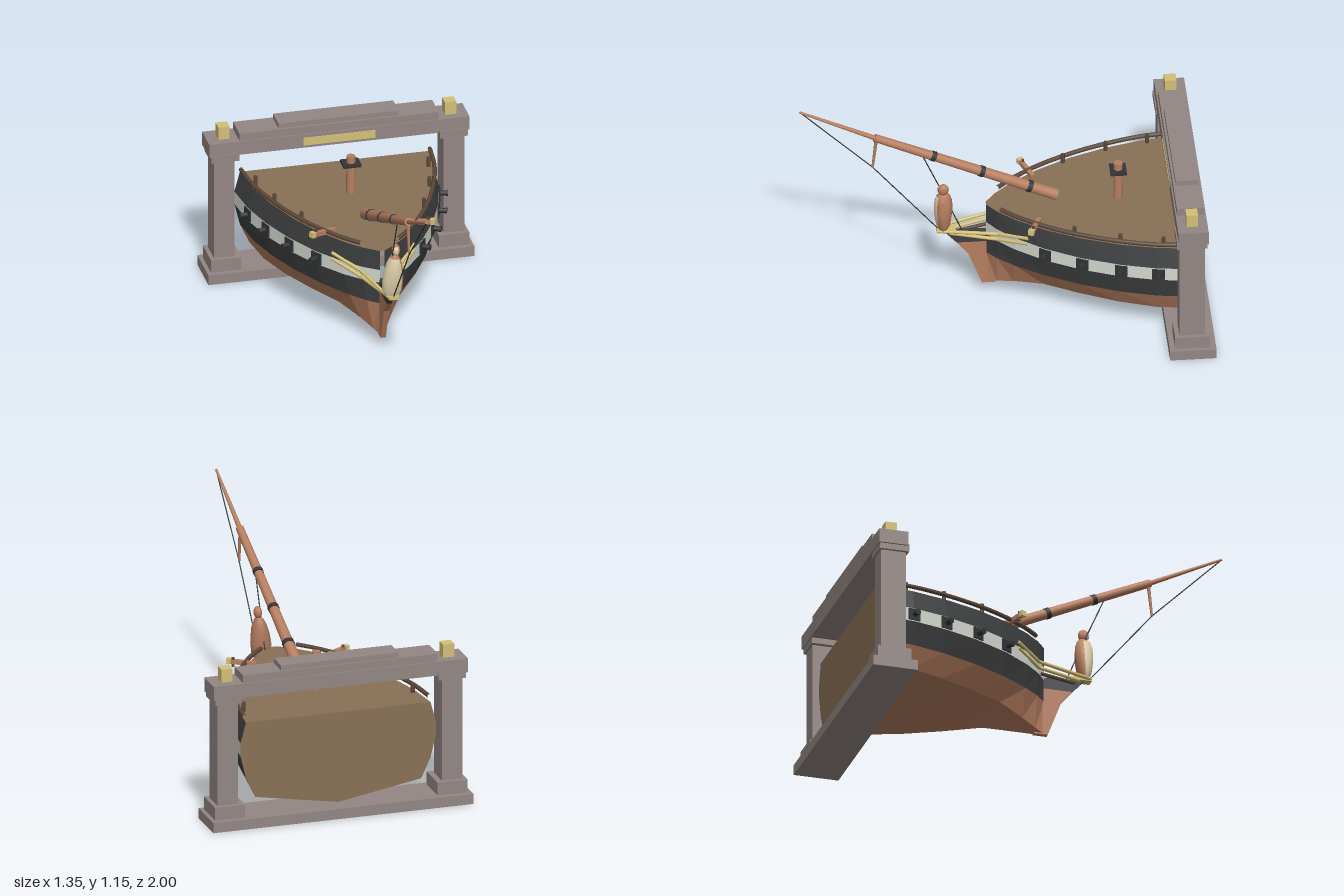
import * as THREE from 'three';

const mat = (name, color, side = THREE.FrontSide) => {
  const m = new THREE.MeshStandardMaterial({ color, side });
  m.name = name;
  return m;
};
const V = (x, y, z) => new THREE.Vector3(x, y, z);

// plan of the hull at its widest level: [z, half width], stern to bow
const PLAN = [[-0.92, 0.507], [-0.73, 0.485], [-0.55, 0.437], [-0.365, 0.364], [-0.19, 0.268],
  [-0.05, 0.162], [0.03, 0.082], [0.08, 0.012]];
function halfWidth(z) {
  for (let i = 1; i < PLAN.length; i++) {
    const [z0, w0] = PLAN[i - 1], [z1, w1] = PLAN[i];
    if (z <= z1) return w0 + (w1 - w0) * (z - z0) / (z1 - z0);
  }
  return 0.012;
}

export function createModel() {
  const copper = mat('copper wood', 0xb67e5f);
  const plank = mat('deck planks', 0x897056, THREE.DoubleSide);
  const black = mat('black paint', 0x3f4041);
  const white = mat('white band', 0xd5d9cf);
  const iron = mat('iron', 0x323437);
  const gold = mat('gold', 0xd4c078);
  const stone = mat('stone', 0x938783);
  const cream = mat('cream robe', 0xdccfa8, THREE.DoubleSide);
  const railWood = mat('rail wood', 0x5c4839);

  const model = new THREE.Group();
  const add = (name, geo, material, parent = model) => {
    const m = new THREE.Mesh(geo, material);
    m.name = name;
    parent.add(m);
    return m;
  };
  // box from its lower and upper limits on each axis
  const box = (name, [x0, x1], [y0, y1], [z0, z1], material) => {
    const m = add(name, new THREE.BoxGeometry(x1 - x0, y1 - y0, z1 - z0), material);
    m.position.set((x0 + x1) / 2, (y0 + y1) / 2, (z0 + z1) / 2);
    return m;
  };
  // round bar from a to b
  const bar = (name, a, b, ra, rb, material, sides = 16) => {
    const m = add(name, new THREE.CylinderGeometry(rb, ra, a.distanceTo(b), sides), material);
    m.position.copy(a).lerp(b, 0.5);
    m.quaternion.setFromUnitVectors(V(0, 1, 0), b.clone().sub(a).normalize());
    return m;
  };
  // square beam from a to b, kept level
  const beam = (name, a, b, size, material) => {
    const m = add(name, new THREE.BoxGeometry(size, size, a.distanceTo(b)), material);
    m.position.copy(a).lerp(b, 0.5);
    m.lookAt(b);
    return m;
  };

  // stone gateway
  box('gateBase', [-0.675, 0.675], [0, 0.053], [-1, -0.77], stone);
  box('gateBeam', [-0.66, 0.66], [0.68, 0.752], [-0.963, -0.813], stone);
  box('gateCornice', [-0.505, 0.505], [0.752, 0.792], [-0.955, -0.82], stone);
  box('gateCrown', [-0.305, 0.305], [0.792, 0.818], [-0.945, -0.832], stone);
  box('gatePlaque', [-0.182, 0.182], [0.693, 0.735], [-0.814, -0.81], gold);
  for (const s of [-1, 1]) {
    const span = (a, b) => (s > 0 ? [a, b] : [-b, -a]);
    box('pillarPlinth', span(0.5, 0.655), [0.053, 0.12], [-0.97, -0.797], stone);
    box('pillar', span(0.53, 0.635), [0.12, 0.66], [-0.947, -0.82], stone);
    box('pillarCapital', span(0.508, 0.65), [0.65, 0.69], [-0.957, -0.807], stone);
    box('gateLamp', span(0.546, 0.604), [0.752, 0.82], [-0.915, -0.857], gold);
  }

  // hull levels, each a line of points along one side; lower ones are finer at the bow
  const level = (y, stern, bow, yBow = y) => PLAN.map(([z, w]) => {
    const t = (z + 0.92) / 1;
    const k = stern + (bow - stern) * t * t;
    return V(Math.max(0.01, w * k), y + (yBow - y) * Math.max(0, (t - 0.77) / 0.23), z);
  });
  const keel = PLAN.map(([z]) => V(0, 0.06, z));
  const levels = [keel, level(0.135, 0.85, 0.35, 0.065), level(0.24, 0.945, 0.8),
    level(0.355, 1, 1), level(0.425, 1, 1), level(0.53, 0.945, 0.945)];
  const mirrored = (line) => line.map((p) => V(-p.x, p.y, p.z));
  const strip = (lower, upper, flip) => {
    const pts = [];
    for (let j = 0; j + 1 < lower.length; j++) {
      const a = lower[j], b = lower[j + 1], c = upper[j + 1], d = upper[j];
      pts.push(...(flip ? [a, b, c, a, c, d] : [a, d, c, a, c, b]));
    }
    const g = new THREE.BufferGeometry().setFromPoints(pts);
    g.computeVertexNormals();
    return g;
  };
  const bands = [['hullBottom', copper], ['hullCopperSide', copper], ['hullLowerSide', black],
    ['gunBand', white], ['hullUpperSide', black]];
  bands.forEach(([name, m], i) => {
    add(name, strip(levels[i], levels[i + 1], false), m);
    add(name, strip(mirrored(levels[i]), mirrored(levels[i + 1]), true), m);
  });
  add('deck', strip(levels[5], mirrored(levels[5]), false), plank);
  const edge = levels.map((l) => new THREE.Vector2(-l[0].x, l[0].y));
  const otherEdge = edge.slice(1).reverse().map((p) => new THREE.Vector2(-p.x, p.y));
  const transom = add('transom', new THREE.ShapeGeometry(new THREE.Shape([...edge, ...otherEdge])), plank);
  transom.rotation.y = Math.PI;
  transom.position.z = -0.92;

  // stem and beak: side profiles in (z, y), extruded across x
  const sideBoard = (name, profile, thick, m) => {
    const shape = new THREE.Shape(profile.map(([z, y]) => new THREE.Vector2(z, y)));
    const g = new THREE.ExtrudeGeometry(shape, { depth: thick, bevelEnabled: false });
    g.translate(0, 0, -thick / 2).rotateY(-Math.PI / 2);
    add(name, g, m);
  };
  sideBoard('stem', [[0.03, 0.06], [0.1, 0.06], [0.168, 0.24], [0.225, 0.31], [0.05, 0.31]], 0.026, copper);
  sideBoard('beak', [[0.05, 0.31], [0.225, 0.31], [0.265, 0.355], [0.29, 0.38], [0.2, 0.375], [0.06, 0.37]], 0.026, black);

  for (const s of [-1, 1]) {
    // gun ports and guns square to the hull side
    for (const z of [-0.73, -0.55, -0.365, -0.19]) {
      const slope = (halfWidth(z + 0.05) - halfWidth(z - 0.05)) / 0.1;
      const out = V(s, 0, -slope).normalize();
      const at = V(s * halfWidth(z), 0.39, z);
      const along = (d) => at.clone().addScaledVector(out, d);
      const port = add('gunPort', new THREE.BoxGeometry(0.062, 0.06, 0.012), iron);
      port.position.copy(at);
      port.rotation.y = Math.atan2(out.x, out.z);
      bar('gun', at, along(0.044), 0.014, 0.011, iron, 12);
      bar('gunMuzzle', along(0.034), along(0.044), 0.015, 0.015, iron, 12);
    }

    // deck rail with posts
    const railPts = [-0.9, -0.73, -0.55, -0.365, -0.19, -0.05, 0.015]
      .map((z) => V(s * halfWidth(z) * 0.95, 0.553, z));
    add('deckRail', new THREE.TubeGeometry(new THREE.CatmullRomCurve3(railPts), 24, 0.011, 8), railWood);
    for (const z of [-0.76, -0.55, -0.33]) {
      const x = s * halfWidth(z) * 0.9;
      bar('railPost', V(x, 0.525, z), V(x, 0.58, z), 0.01, 0.01, railWood);
    }

    // anchor beam with gold end
    bar('deckCleat', V(s * 0.285, 0.53, -0.13), V(s * 0.285, 0.578, -0.13), 0.007, 0.007, railWood);
    beam('anchorBeam', V(s * 0.18, 0.545, -0.17), V(s * 0.3, 0.557, -0.12), 0.022, copper);
    beam('anchorBeamEnd', V(s * 0.295, 0.557, -0.122), V(s * 0.315, 0.559, -0.113), 0.028, gold);

    // head rails running from the bow sides to the figurehead
    [0, -0.032].forEach((dy, i) => {
      const p = [V(s * 0.207, 0.45 + dy, -0.11), V(s * 0.098, 0.41 + dy, 0.03), V(s * 0.02, 0.39 + dy * 0.5, i ? 0.26 : 0.32)];
      for (let k = 0; k < 2; k++) bar('headRail', p[k], p[k + 1], 0.009, 0.009, gold);
    });
    bar('headBrace', V(s * 0.07, 0.36, 0.05), V(s * 0.012, 0.36, 0.24), 0.009, 0.009, railWood);
  }
  box('figureheadBase', [-0.024, 0.024], [0.378, 0.396], [0.23, 0.325], gold);

  // figurehead: skirt spread sideways, narrow shoulders, leaning to its left, robe over its right front
  const figure = new THREE.Group();
  figure.name = 'figurehead';
  figure.position.set(0, 0, 0.29);
  model.add(figure);
  const carve = (geo) => {
    const p = geo.attributes.position;
    for (let i = 0; i < p.count; i++) {
      const t = (p.getY(i) - 0.4) / 0.2;
      p.setX(i, p.getX(i) * (1.55 - 0.85 * t) + 0.012 * t);
    }
    geo.computeVertexNormals();
    return geo;
  };
  const profile = [[0.02, 0.39], [0.034, 0.425], [0.042, 0.48], [0.045, 0.53], [0.042, 0.57], [0.032, 0.6], [0.016, 0.615]]
    .map(([r, y]) => new THREE.Vector2(r, y));
  add('figureBody', carve(new THREE.LatheGeometry(profile, 14)), copper, figure);
  const robe = profile.slice(0, 6).map((p) => new THREE.Vector2(p.x + 0.003, p.y));
  add('figureRobe', carve(new THREE.LatheGeometry(robe, 10, -1.75, 2.5)), cream, figure);
  const head = add('figureHead', new THREE.SphereGeometry(0.025, 12, 8), copper, figure);
  head.position.set(0.018, 0.638, 0.002);
  head.scale.set(0.85, 1.25, 1.1);
  const face = add('figureFace', new THREE.SphereGeometry(0.025, 6, 6, Math.PI / 2 - 1, 1.4, 0.7, 1.6), cream, figure);
  face.position.set(0.017, 0.638, 0.005);
  face.scale.copy(head.scale);
  const arm = add('figureArm', new THREE.SphereGeometry(0.017, 10, 8), copper, figure);
  arm.position.set(0.036, 0.55, 0.012);
  arm.scale.set(0.7, 2.4, 1);
  arm.rotation.x = -0.3;

  // bowsprit in two lengths, with bands along the lower one
  const heel = V(0, 0.56, -0.27), cap = V(0, 0.962, 0.63), tip = V(0, 1.14, 1);
  bar('bowsprit', heel, cap, 0.029, 0.02, copper);
  bar('bowspritTip', cap.clone().lerp(tip, -0.08), tip, 0.013, 0.006, copper);
  for (const z of [-0.135, 0.1, 0.34]) {
    const t = (z + 0.27) / 0.9, r = 0.032 - 0.009 * t;
    bar('bowspritBand', heel.clone().lerp(cap, t - 0.012), heel.clone().lerp(cap, t + 0.012), r, r, iron);
  }
  const strut = V(0, 0.785, 0.64);
  bar('bowspritStrut', V(0, 0.95, 0.622), strut, 0.009, 0.006, copper);

  // stays
  [[tip, strut], [strut, V(0, 0.385, 0.31)], [V(0, 0.83, 0.39), V(0, 0.65, 0.312)], [V(0, 0.65, 0.312), V(0, 0.38, 0.2)]]
    .forEach(([a, b]) => bar('stay', a, b, 0.003, 0.003, iron, 6));

  // mast stump with its platform
  bar('mast', V(0, 0.52, -0.575), V(0, 0.732, -0.575), 0.024, 0.022, copper);
  box('mastPlatform', [-0.045, 0.045], [0.683, 0.697], [-0.615, -0.535], iron);

  return model;
}
